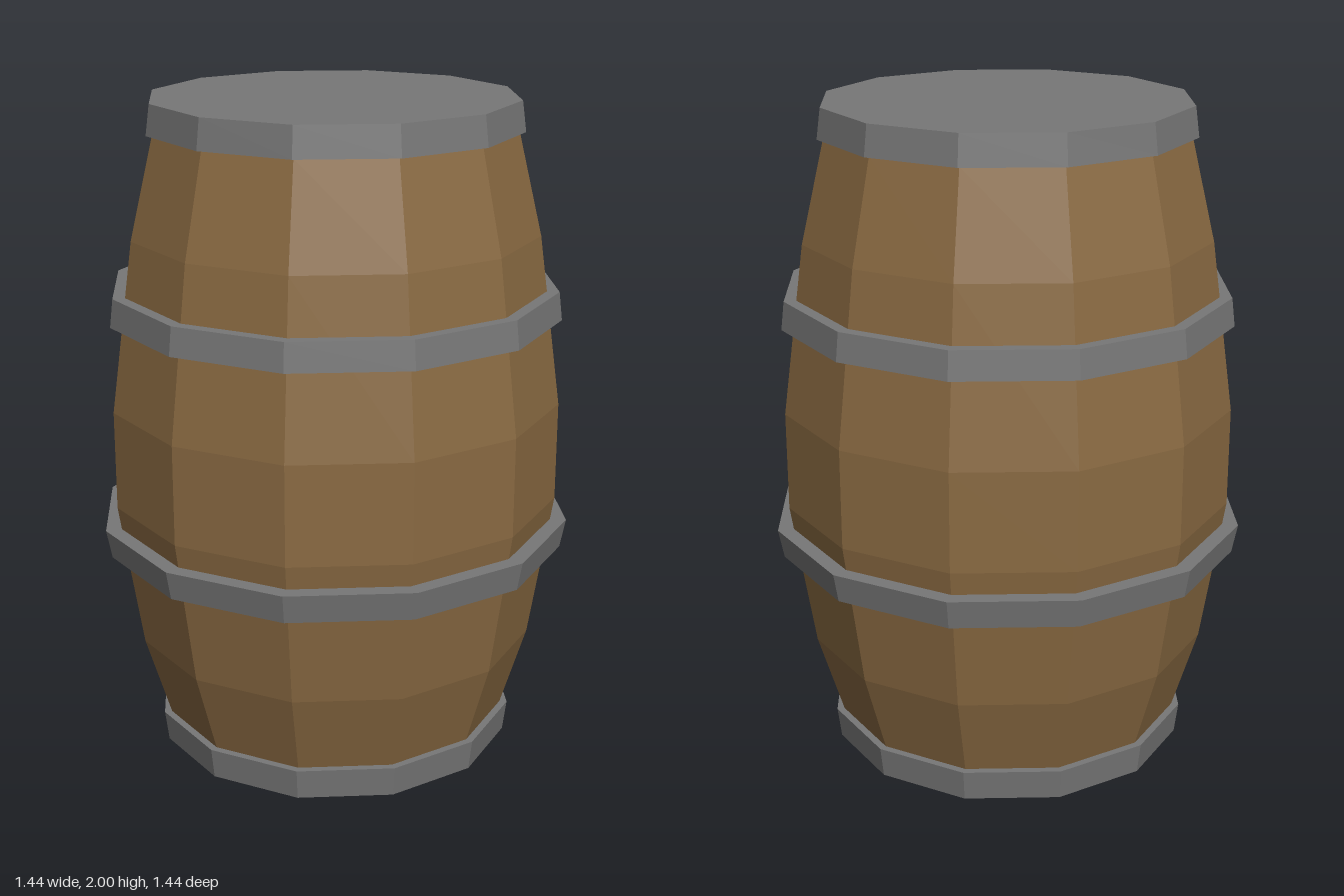
import * as THREE from 'three';

const SIDES = 12;
const START = THREE.MathUtils.degToRad(24.4); // slight turn of all facets

export function createModel() {
  const barrel = new THREE.Group();
  barrel.name = 'barrel';
  const wood = new THREE.MeshStandardMaterial({ color: 0x8a6a42, flatShading: true });
  const iron = new THREE.MeshStandardMaterial({ color: 0x777777, flatShading: true });

  // Twelve-sided turned part from [radius, height] pairs, bottom to top
  const turned = (name, profile, material) => {
    const points = profile.map(([r, y]) => new THREE.Vector2(r, y));
    const mesh = new THREE.Mesh(new THREE.LatheGeometry(points, SIDES, START), material);
    mesh.name = name;
    barrel.add(mesh);
  };

  // Bulging wooden wall; both ends sit inside the end caps
  turned('staves', [
    [0.52, 0.05], [0.538, 0.095], [0.615, 0.35], [0.685, 0.8],
    [0.685, 1.1], [0.615, 1.61], [0.543, 1.91], [0.53, 1.95],
  ], wood);

  // Iron caps closing both ends
  turned('bottomCap', [[0, 0], [0.549, 0], [0.561, 0.095], [0.5, 0.095]], iron);
  turned('topCap', [[0.5, 1.91], [0.561, 1.91], [0.549, 2], [0, 2]], iron);

  // Flared hoops, each running into the wall
  turned('lowerHoop', [[0.63, 0.642], [0.706, 0.642], [0.723, 0.73], [0.65, 0.73]], iron);
  turned('upperHoop', [[0.62, 1.36], [0.685, 1.36], [0.675, 1.445], [0.61, 1.445]], iron);

  return barrel;
}
